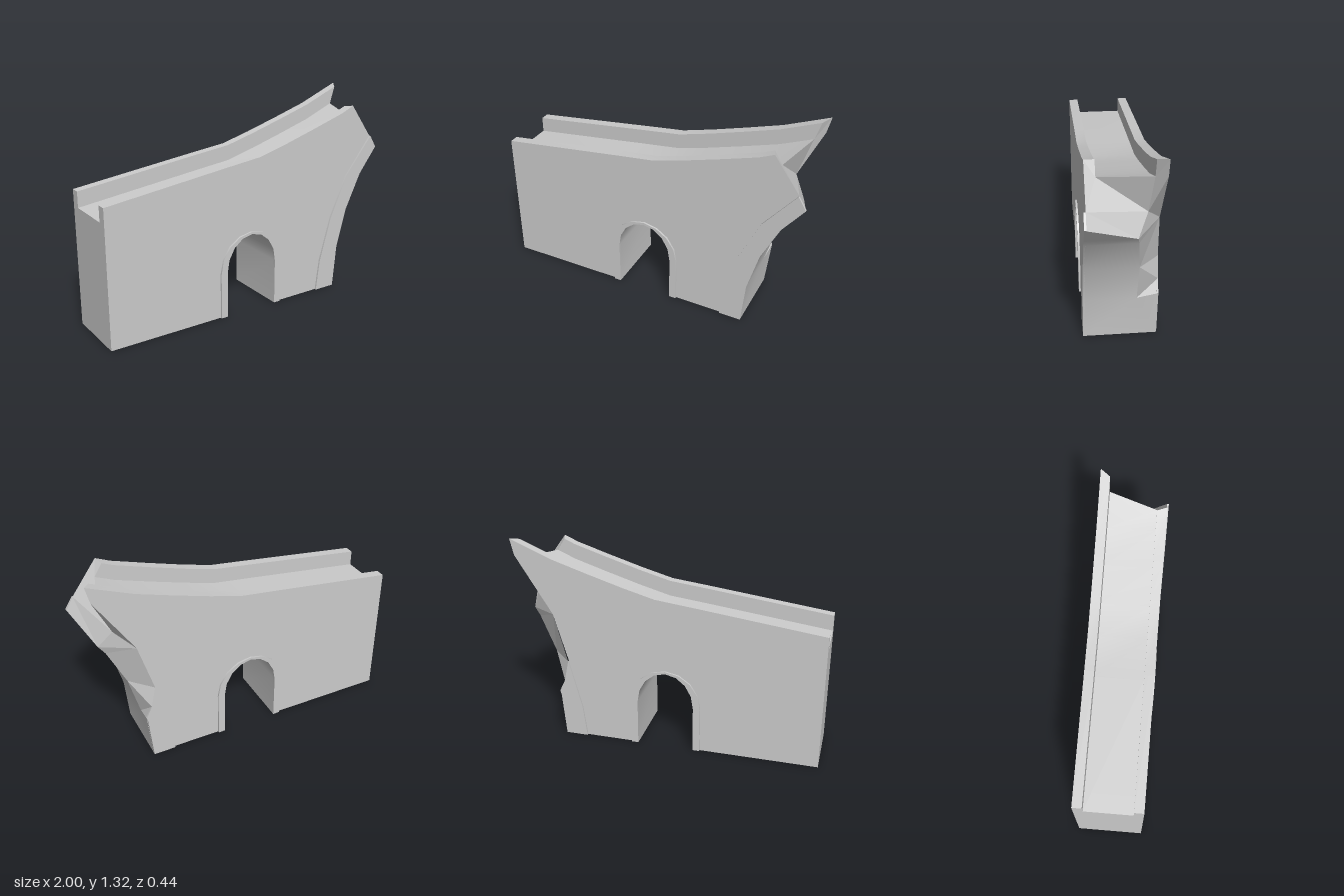
import * as THREE from 'three';
import { toCreasedNormals } from 'three/addons/utils/BufferGeometryUtils.js';

const WALL = 0.21;   // half thickness of the wall
const TRIM = 0.222;  // half thickness including raised trims
const CURB = 0.15;   // inner edge of the parapets
const DROP = 0.1;    // depth of the walkway below the parapets

const material = new THREE.MeshStandardMaterial({ color: 0xcccccc });

// Rising top line of the bridge
const TOP = [[-1, 0.875], [-0.2, 0.975], [0.05, 1.005], [0.25, 1.06], [0.48, 1.13], [0.7, 1.2], [0.79, 1.24], [0.98, 1.315]];
const topY = (x) => {
  let i = 0;
  while (i < TOP.length - 2 && x > TOP[i + 1][0]) i++;
  const [a, b] = [TOP[i], TOP[i + 1]];
  return a[1] + (b[1] - a[1]) * (x - a[0]) / (b[0] - a[0]);
};
const topLine = (xEnd) => [...TOP.slice(0, 6).map((p) => p[0]), xEnd].map((x) => [x, topY(x)]);

// Outer and inner curves of the broken second arch
const OUTER = [[0.665, 0], [0.69, 0.28], [0.76, 0.54], [0.87, 0.77], [0.908, 0.82]];
const INNER = [[0.52, 0], [0.547, 0.21], [0.628, 0.5], [0.75, 0.77], [0.95, 1.02]];
const TIP = [1, 0.94];

// Archway outline from left foot to right foot
function archLine(rx, ry) {
  const pts = [[-0.0175 - rx, 0]];
  for (let i = 0; i <= 8; i++) {
    const a = Math.PI * (1 - i / 8);
    pts.push([-0.0175 + rx * Math.cos(a), 0.3 + ry * Math.sin(a)]);
  }
  pts.push([-0.0175 + rx, 0]);
  return pts;
}

const at = (pts, z) => pts.map(([x, y]) => [x, y, z]);

// Fan of triangles for each polygon, corners counter-clockwise
function polys(list, crease = 0) {
  const pos = [];
  for (const p of list) {
    for (let i = 1; i < p.length - 1; i++) pos.push(...p[0], ...p[i], ...p[i + 1]);
  }
  const geo = new THREE.BufferGeometry();
  geo.setAttribute('position', new THREE.Float32BufferAttribute(pos, 3));
  geo.computeVertexNormals();
  return crease ? toCreasedNormals(geo, crease) : geo;
}

// Quads between two rails of equal length
const strip = (a, b) => a.slice(1).map((_, i) => [a[i], b[i], b[i + 1], a[i + 1]]);

// Flat or slightly raised panel on the front (side 1) or back (side -1)
function panel(pts, side, depth = 0) {
  const shape = new THREE.Shape(pts.map(([x, y]) => new THREE.Vector2(x * side, y)));
  const geo = depth
    ? new THREE.ExtrudeGeometry(shape, { depth, bevelEnabled: false })
    : new THREE.ShapeGeometry(shape);
  geo.translate(0, 0, WALL);
  if (side < 0) geo.rotateY(Math.PI);
  return geo;
}

export function createModel() {
  const group = new THREE.Group();
  const add = (name, geo) => {
    const mesh = new THREE.Mesh(geo, material);
    mesh.name = name;
    group.add(mesh);
  };

  const arch = archLine(0.1825, 0.22);
  const archOuter = archLine(0.2275, 0.235);
  const foot = [[-1, 0], ...arch];

  // Corners of the broken end
  const F0 = [0.79, 1.24, WALL], F1 = [0.77, topY(0.77), CURB], F2 = [0.82, topY(0.82) - DROP, CURB];
  const G = [0.95, 1.02, WALL], T = [...TIP, TRIM];
  const A = [0.83, 0.94, -0.13], J = [0.72, 0.84, -WALL], H = [0.955, 1.21, -WALL];
  const K0 = [0.98, 1.315, -WALL], K1 = [0.94, topY(0.94), -CURB], K2 = [0.905, topY(0.905) - DROP, -CURB];
  const E = [0.698, 0.31, -TRIM], M = [0.66, 0.39, -TRIM], N = [0.63, 0.53, -TRIM];
  const backZ = [-TRIM, -0.095, -0.1, -0.08, -0.07];
  const backRail = OUTER.map(([x, y], i) => [x, y, backZ[i]]);
  const [P0, D, C, C2, B] = backRail;
  const xy = (p) => [p[0], p[1]];

  // Wall faces
  add('frontWall', panel([...foot, ...OUTER, TIP, xy(G), ...topLine(0.79).reverse()], 1));
  add('backWall', panel([...foot, OUTER[0], xy(E), xy(M), xy(N), xy(J), xy(H), ...topLine(0.98).reverse()], -1));

  // Parapets and sunken walkway, listed from front to back
  const rail = (xEnd, drop, z) => topLine(xEnd).map(([x, y]) => [x, y - drop, z]);
  const rails = [
    rail(0.79, 0, WALL), rail(0.77, 0, CURB), rail(0.82, DROP, CURB),
    rail(0.905, DROP, -CURB), rail(0.94, 0, -CURB), rail(0.98, 0, -WALL),
  ];
  ['frontParapetTop', 'frontParapetInside', 'walkway', 'backParapetInside', 'backParapetTop'].forEach((name, i) => {
    add(name, polys(strip(rails[i + 1], rails[i]), 0.5));
  });

  // Left end and undersides
  const endQuad = (z0, z1, y0, y1) => [[-1, y0, z0], [-1, y0, z1], [-1, y1, z1], [-1, y1, z0]];
  const h = topY(-1);
  add('leftEnd', polys([
    endQuad(-WALL, WALL, 0, h - DROP),
    endQuad(CURB, WALL, h - DROP, h),
    endQuad(-WALL, -CURB, h - DROP, h),
  ]));
  const base = (x0, x1) => [[x0, 0, -WALL], [x1, 0, -WALL], [x1, 0, WALL], [x0, 0, WALL]];
  add('underside', polys([base(-1, arch[0][0]), base(arch[arch.length - 1][0], OUTER[0][0])]));

  // Archway lining and raised surrounds
  add('archLining', polys(strip(at(arch, TRIM), at(arch, -TRIM)), 0.5));
  for (const side of [1, -1]) {
    add(side > 0 ? 'frontArchTrim' : 'backArchTrim',
      toCreasedNormals(panel([...arch, ...archOuter.slice().reverse()], side, TRIM - WALL), 0.5));
  }

  // Broken second arch: curved underside and trims
  const frontRail = at(OUTER, TRIM);
  add('brokenArchLining', polys([...strip(frontRail, backRail), [P0, E, D], [frontRail[4], B, T]], 0.5));
  add('frontBrokenArchTrim', toCreasedNormals(
    panel([...INNER, TIP, ...OUTER.slice().reverse()], 1, TRIM - WALL), 0.5));
  add('backBrokenArchTrim', toCreasedNormals(
    panel([...INNER.slice(0, 2), xy(N), xy(M), xy(E), OUTER[1], OUTER[0]], -1, TRIM - WALL), 0.5));

  // Jagged fracture faces
  add('brokenEnd', polys([
    [F0, G, F2, F1], [G, T, B, A, F2], [F2, A, K2], [A, H, K2], [K2, H, K0, K1],
    [A, J, H], [A, B, J], [J, B, C2, C], [C, N, J], [C, D, M, N], [D, E, M],
  ]));

  return group;
}
